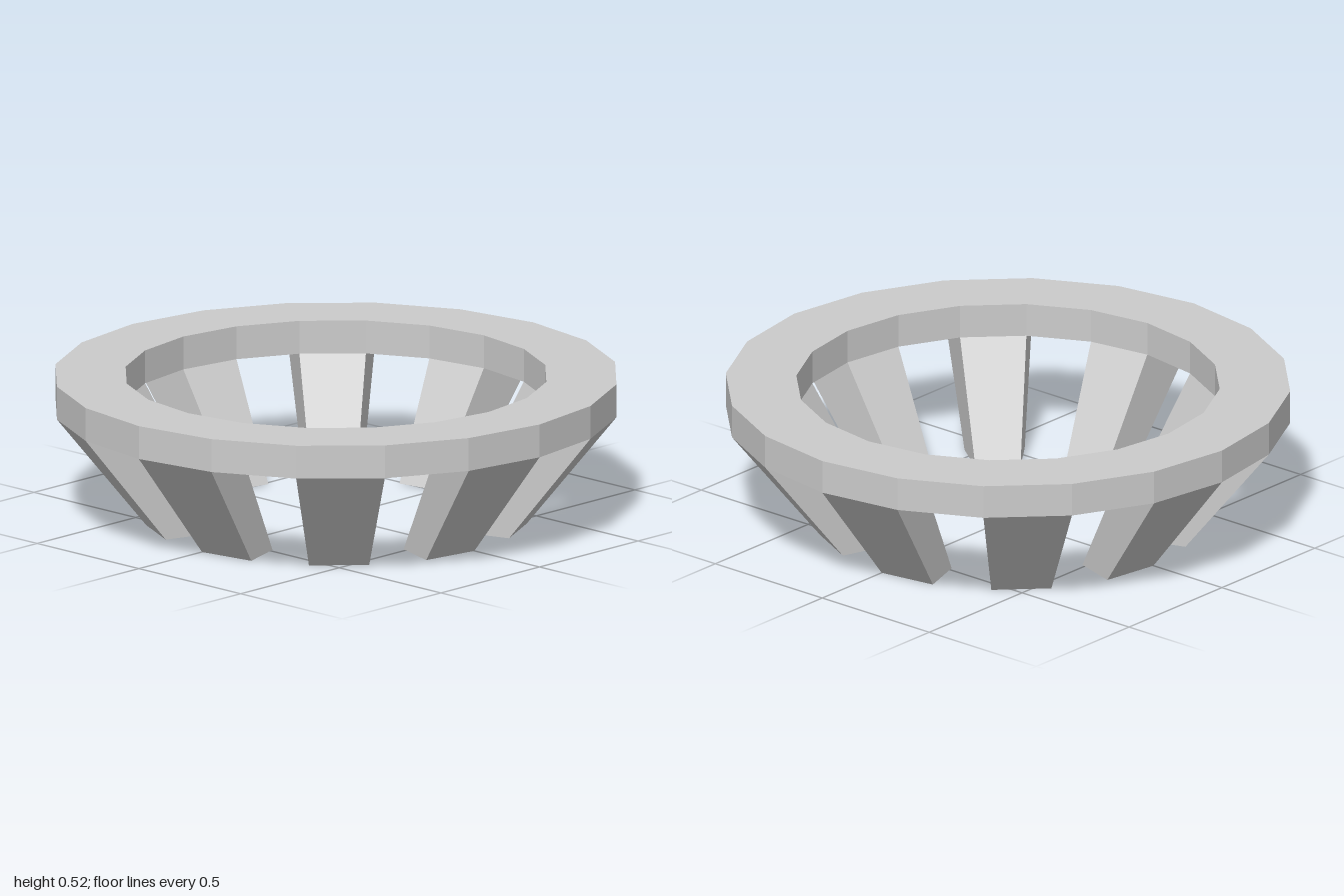
import * as THREE from 'three';

const SIDES = 20;
const STEP = (Math.PI * 2) / SIDES;
const RIM_BOTTOM = 0.4, RIM_TOP = 0.52;

// Tapered prong filling one facet of the rim: box x -> angle, z -> radius
function prongGeometry() {
  const geo = new THREE.BoxGeometry(1, 1, 1);
  const pos = geo.attributes.position;
  for (let i = 0; i < pos.count; i++) {
    const angle = pos.getX(i) > 0 ? STEP : 0;
    const top = pos.getY(i) > 0;
    const outer = pos.getZ(i) > 0;
    const r = top ? (outer ? 1 : 0.75) : (outer ? 0.68 : 0.51);
    pos.setXYZ(i, r * Math.sin(angle), top ? RIM_BOTTOM : 0, r * Math.cos(angle));
  }
  geo.computeVertexNormals();
  return geo;
}

export function createModel() {
  const model = new THREE.Group();
  model.name = 'prongedRing';
  const material = new THREE.MeshStandardMaterial({ color: 0xcccccc, flatShading: true });

  // Rim: rectangular section turned into a faceted ring
  const profile = [
    [1, RIM_BOTTOM], [1, RIM_TOP], [0.75, RIM_TOP], [0.75, RIM_BOTTOM], [1, RIM_BOTTOM],
  ].map(([r, y]) => new THREE.Vector2(r, y));
  const rim = new THREE.Mesh(new THREE.LatheGeometry(profile, SIDES), material);
  rim.name = 'rim';
  model.add(rim);

  // Prongs under every second facet, leaning inwards
  const prongs = new THREE.Group();
  prongs.name = 'prongs';
  const geo = prongGeometry();
  for (let i = 0; i < SIDES / 2; i++) {
    const prong = new THREE.Mesh(geo, material);
    prong.name = 'prong';
    prong.rotation.y = i * 2 * STEP;
    prongs.add(prong);
  }
  model.add(prongs);
  return model;
}
